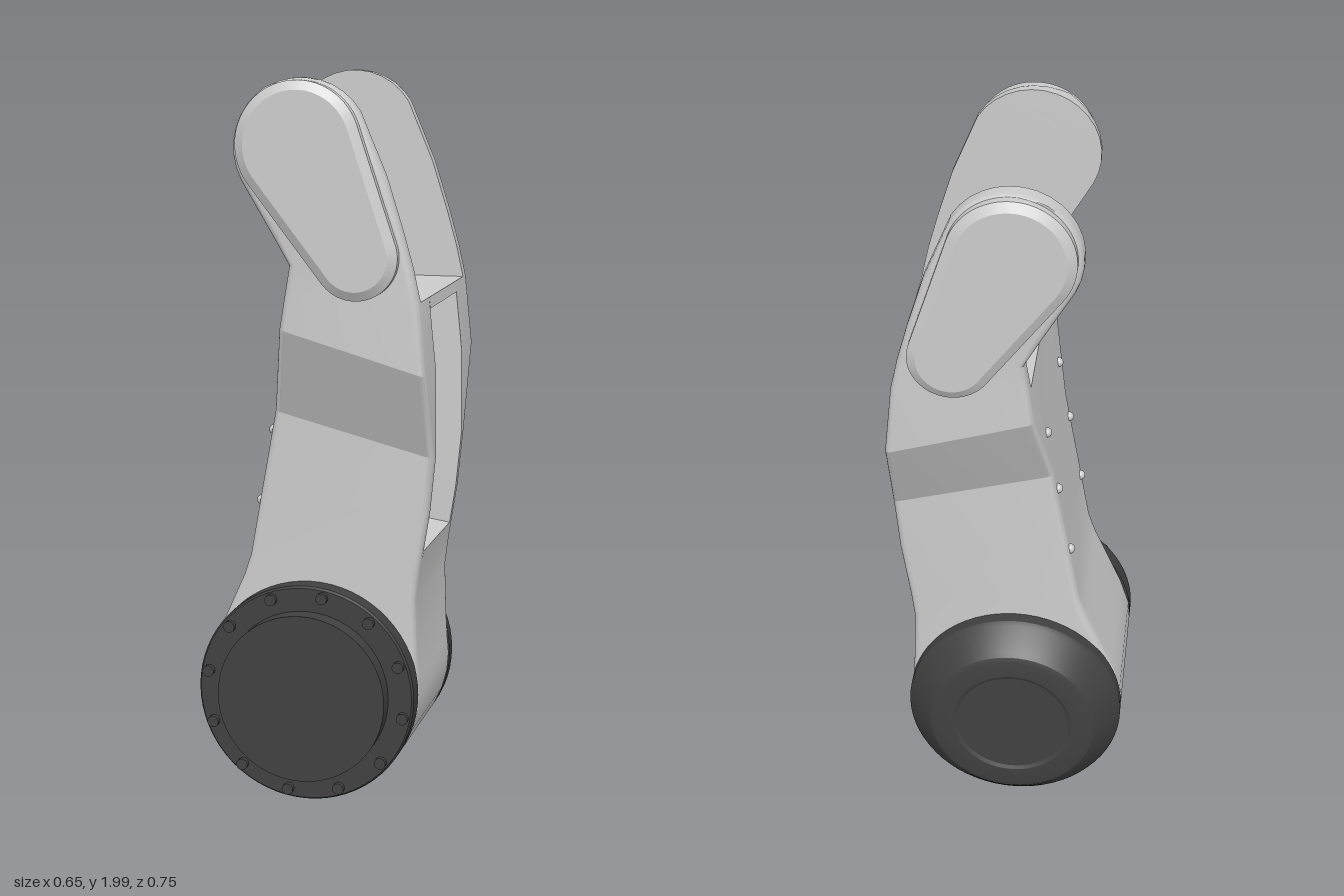
import * as THREE from 'three';
import { toCreasedNormals } from 'three/addons/utils/BufferGeometryUtils.js';

const grey = new THREE.MeshStandardMaterial({ color: 0xcccccc });
const dark = new THREE.MeshStandardMaterial({ color: 0x404040 });
const RAD = Math.PI / 180;
const PIVOT = [-0.02, 0.31], PIVOT_R = 0.305;
const TIP = [-0.02, 1.81], TIP_R = 0.185;

function add(parent, name, geometry, material, x = 0, y = 0, z = 0) {
  const mesh = new THREE.Mesh(geometry, material);
  mesh.name = name;
  mesh.position.set(x, y, z);
  parent.add(mesh);
  return mesh;
}

// Chord across a circle, a degrees either side of the given axis
function chord([cx, cy], r, axis, a, flip) {
  const p = (t) => [cx + r * Math.cos(t * RAD), cy + r * Math.sin(t * RAD)];
  const left = p(axis - a * flip), right = p(axis + a * flip);
  return [...left, ...right];
}

// Stations up the arm: left x, y, right x, y, then wide (0/1) and fork (0/1)
function makeStations() {
  const out = [];
  for (let a = 0; a <= 100; a += 10) out.push([...chord(PIVOT, PIVOT_R, -90, a, 1), 0, 0]);
  out.push(
    [-0.295, 0.44, 0.277, 0.42, 0, 0],
    [-0.215, 0.62, 0.272, 0.58, 0, 0],
    [-0.195, 0.68, 0.282, 0.66, 0, 0],
    [-0.165, 0.85, 0.307, 0.82, 0, 0],
    [-0.122, 1.09, 0.322, 0.975, 0, 0],
    [-0.08, 1.33, 0.32, 1.215, 1, 0],
    [-0.067, 1.41, 0.3, 1.41, 1, 0],
    [-0.067, 1.41, 0.3, 1.41, 1, 1],
    [-0.052, 1.5, 0.28, 1.5, 1, 1],
    [-0.095, 1.575, 0.252, 1.6, 1, 1],
    [-0.14, 1.65, 0.208, 1.74, 1, 1],
  );
  for (let a = 88; a >= 0; a -= 11) out.push([...chord(TIP, TIP_R, 120, a, -1), 1, 1]);
  return out;
}

// Side cheek: cross-sections with rounded outer corners, lofted up the arm
function cheekGeometry(stations, { s, core, low, high, fork }) {
  const pos = [], idx = [], N = 5;
  let ring = 0;
  for (const [lx, ly, rx, ry, wide, isFork] of stations) {
    const w = Math.hypot(rx - lx, ry - ly);
    const b = Math.min(0.02, w / 2);
    const zi = isFork ? fork : core, zo = wide ? high : low;
    const section = [[0, zi], [w, zi]];
    for (let i = 0; i <= N; i++) {
      const t = (i / N) * Math.PI / 2;
      section.push([w - b + b * Math.cos(t), zo - b + b * Math.sin(t)]);
    }
    for (let i = N; i >= 0; i--) {
      const t = (i / N) * Math.PI / 2;
      section.push([b - b * Math.cos(t), zo - b + b * Math.sin(t)]);
    }
    ring = section.length;
    for (const [d, z] of section) {
      const k = w > 1e-6 ? d / w : 0;
      pos.push(lx + (rx - lx) * k, ly + (ry - ly) * k, s * z);
    }
  }
  for (let i = 0; i < stations.length - 1; i++) {
    for (let j = 0; j < ring; j++) {
      const a = i * ring + j, b = i * ring + (j + 1) % ring, c = a + ring, d = b + ring;
      if (s > 0) idx.push(a, c, b, b, c, d);
      else idx.push(a, b, c, b, d, c);
    }
  }
  const g = new THREE.BufferGeometry();
  g.setAttribute('position', new THREE.Float32BufferAttribute(pos, 3));
  g.setIndex(idx);
  return toCreasedNormals(g, 0.4);
}

// Middle of the arm, with the window notched into its right edge
function coreGeometry(stations) {
  const base = stations.filter((st) => !st[5]);
  const right = base.filter((st) => st[3] < 0.71).map((st) => [st[2], st[3]]);
  const notch = [[0.29, 0.71], [0.03, 0.75], [0.1, 1.34], [0.304, 1.38], [0.3, 1.41]];
  const left = base.slice(1).reverse().map((st) => [st[0], st[1]]);
  const shape = new THREE.Shape([...right, ...notch, ...left].map((p) => new THREE.Vector2(...p)));
  const g = new THREE.ExtrudeGeometry(shape, { depth: 0.36, bevelEnabled: false });
  g.translate(0, 0, -0.17);
  return toCreasedNormals(g, 0.4);
}

// Bevelled pad: two circles joined by their tangents
function padGeometry() {
  const [x1, y1, r1, x2, y2, r2] = [-0.02, 1.82, 0.17, 0.135, 1.53, 0.115];
  const dir = Math.atan2(y2 - y1, x2 - x1);
  const spread = Math.acos((r1 - r2) / Math.hypot(x2 - x1, y2 - y1));
  const shape = new THREE.Shape();
  shape.absarc(x2, y2, r2, dir - spread, dir + spread, false);
  shape.absarc(x1, y1, r1, dir + spread, dir - spread + 2 * Math.PI, false);
  const g = new THREE.ExtrudeGeometry(shape, {
    depth: 0.025, bevelThickness: 0.015, bevelSize: 0.025, bevelOffset: -0.025,
    bevelSegments: 1, curveSegments: 24,
  });
  g.translate(0, 0, -0.0125);
  return toCreasedNormals(g, 0.4);
}

// Turned part, its axis along +z (s = 1) or -z (s = -1)
function turned(profile, s) {
  const g = new THREE.LatheGeometry(profile.map((p) => new THREE.Vector2(...p)), 64);
  g.rotateX(s * Math.PI / 2);
  return toCreasedNormals(g, 0.4);
}

export function createModel() {
  const model = new THREE.Group();
  model.name = 'robotArmLink';
  const stations = makeStations();

  // Arm body and fork
  add(model, 'armCore', coreGeometry(stations), grey);
  const sides = [
    { name: 'front', s: 1, core: 0.19, low: 0.228, high: 0.338, fork: 0.297 },
    { name: 'back', s: -1, core: 0.17, low: 0.215, high: 0.338, fork: 0.283 },
  ];
  const pad = padGeometry();
  for (const side of sides) {
    add(model, side.name + 'Cheek', cheekGeometry(stations, side), grey);
    add(model, side.name + 'ForkPad', pad, grey, 0, 0, side.s * 0.3475);
  }

  // Dark panel at the back of the window
  const panel = add(model, 'windowPanel', new THREE.BoxGeometry(0.01, 0.59, 0.36), dark, 0.066, 1.045, 0.01);
  panel.rotation.z = -Math.atan2(0.07, 0.59);

  // Front joint cover with hub and bolts
  const frontCover = new THREE.Group();
  frontCover.name = 'frontJointCover';
  frontCover.position.set(PIVOT[0], PIVOT[1], 0);
  model.add(frontCover);
  add(frontCover, 'coverRing', turned([
    [0.29, 0.215], [0.305, 0.225], [0.305, 0.283], [0.3, 0.29], [0.235, 0.29], [0.235, 0.345], [0, 0.345],
  ], 1), dark);
  const bolt = new THREE.CylinderGeometry(0.016, 0.016, 0.03, 16).rotateX(Math.PI / 2);
  for (let i = 0; i < 12; i++) {
    const t = (i * 30 + 20) * RAD;
    add(frontCover, 'coverBolt', bolt, dark, 0.28 * Math.cos(t), 0.28 * Math.sin(t), 0.29);
  }

  // Back joint cover with a chamfered rim and shallow dish
  add(model, 'backJointCover', turned([
    [0.29, 0.205], [0.305, 0.212], [0.305, 0.25], [0.298, 0.262], [0.245, 0.32],
    [0.235, 0.329], [0.22, 0.334], [0.17, 0.334], [0.16, 0.329], [0, 0.329],
  ], -1), dark, PIVOT[0], PIVOT[1], 0);

  // Rivets on the closed side
  const rivet = new THREE.SphereGeometry(0.014, 16, 12);
  for (const [x, y] of [[-0.169, 0.83], [-0.133, 1.03], [-0.101, 1.21]]) {
    for (const z of [-0.183, 0.19]) add(model, 'rivet', rivet, grey, x, y, z);
  }
  return model;
}
